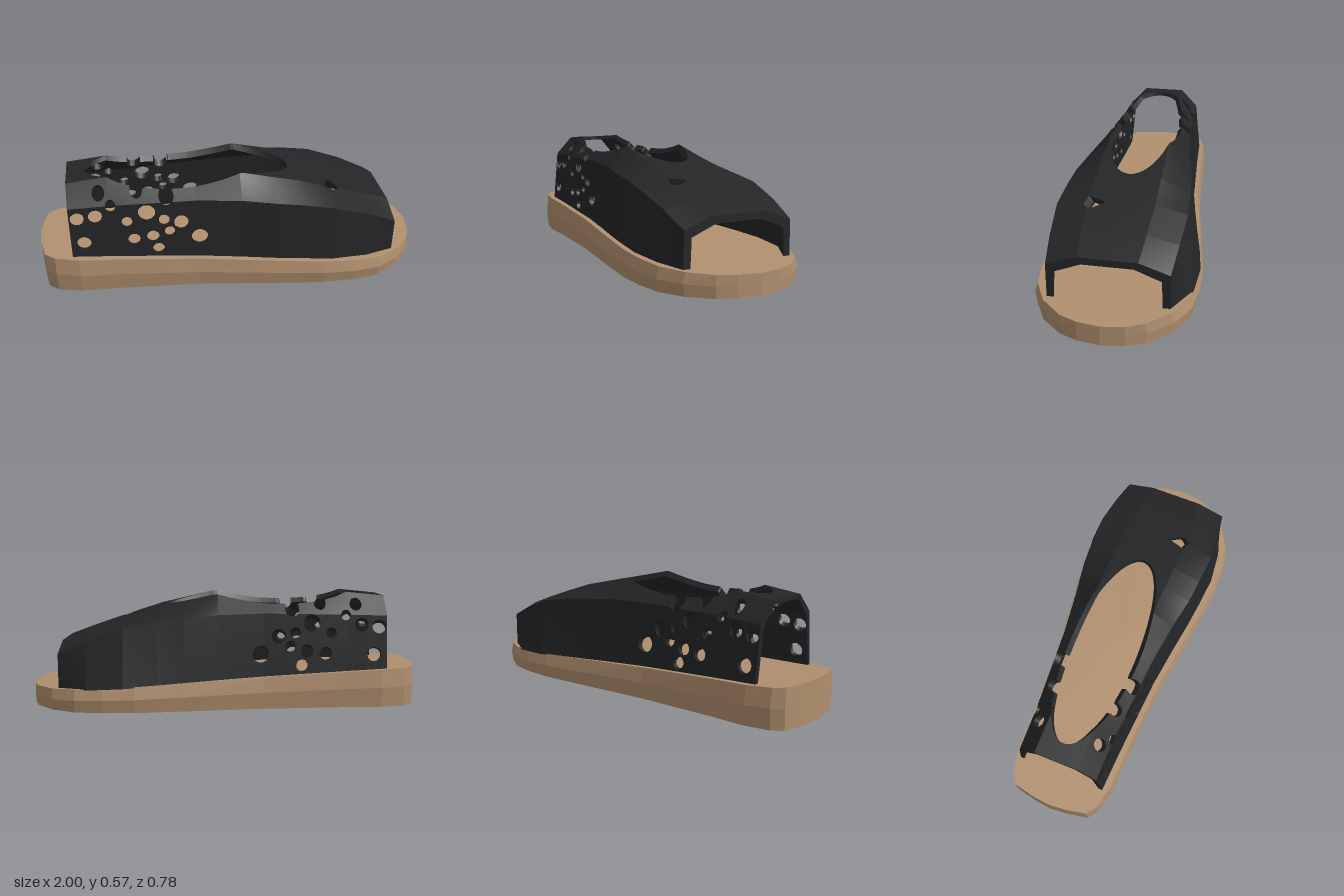
import * as THREE from 'three';

// Flat-shaded mesh from a list of triangle corners
function facetMesh(points, color, name) {
  const geo = new THREE.BufferGeometry().setFromPoints(points);
  geo.computeVertexNormals();
  const mesh = new THREE.Mesh(geo, new THREE.MeshStandardMaterial({ color, flatShading: true }));
  mesh.name = name;
  return mesh;
}

const soleTop = x => 0.15 - 0.05 * x;

// Sole: mirrored outline stacked in three rings, bulging at mid height
function makeSole() {
  const half = [[-0.99, 0.1], [-0.97, 0.2], [-0.92, 0.24], [-0.8, 0.27], [-0.6, 0.277], [-0.2, 0.305], [0.2, 0.36],
    [0.44, 0.39], [0.6, 0.39], [0.74, 0.37], [0.86, 0.305], [0.95, 0.2], [0.985, 0.11]];
  const outline = [[-1, 0], ...half, [1, 0], ...half.map(([x, z]) => [x, -z]).reverse()];
  const ring = (level, scale) => outline.map(([x, z]) => new THREE.Vector3(x, level * soleTop(x), z * scale));
  const rings = [ring(0, 0.975), ring(0.52, 1), ring(1, 0.96)];
  const bottom = new THREE.Vector3(0, 0, 0), top = new THREE.Vector3(0, soleTop(0), 0);
  const tris = [], n = outline.length;
  for (let i = 0; i < n; i++) {
    const j = (i + 1) % n;
    for (let r = 0; r < 2; r++) {
      const a = rings[r], b = rings[r + 1];
      tris.push(a[i], a[j], b[j], a[i], b[j], b[i]);
    }
    tris.push(top, rings[2][i], rings[2][j], bottom, rings[0][j], rings[0][i]);
  }
  return facetMesh(tris, 0xb08f6e, 'sole');
}

// Upper stations: x, top y, top half width, shoulder y, shoulder half width, base z left and right
const stations = [
  [-0.83, 0.555, 0.11, 0.46, 0.2, 0.225, 0.23],
  [-0.63, 0.575, 0.11, 0.465, 0.205, 0.235, 0.24],
  [-0.2, 0.575, 0.12, 0.475, 0.235, 0.265, 0.27],
  [0.03, 0.57, 0.155, 0.47, 0.265, 0.295, 0.305],
  [0.2, 0.53, 0.16, 0.455, 0.295, 0.32, 0.335],
  [0.33, 0.5, 0.16, 0.44, 0.305, 0.335, 0.36],
  [0.5, 0.445, 0.16, 0.41, 0.315, 0.35, 0.383],
  [0.68, 0.385, 0.15, 0.35, 0.3, 0.332, 0.37],
  [0.83, 0.33, 0.14, 0.28, 0.283, 0.285, 0.285],
];

// Vent holes through both sides: x, y, radius
const vents = [
  [-0.79, 0.405, 0.035], [-0.7, 0.415, 0.035], [-0.62, 0.463, 0.026], [-0.765, 0.265, 0.036],
  [-0.675, 0.515, 0.031], [-0.49, 0.52, 0.031], [-0.445, 0.425, 0.043], [-0.545, 0.375, 0.027],
  [-0.345, 0.495, 0.037], [-0.36, 0.378, 0.028], [-0.335, 0.31, 0.027], [-0.275, 0.36, 0.037],
  [-0.42, 0.285, 0.032], [-0.515, 0.272, 0.032], [-0.395, 0.213, 0.031], [-0.185, 0.272, 0.042],
];
const toeSlit = [[0.505, 0.07], [0.555, 0.148], [0.525, 0.178], [0.473, 0.163]];

// Positive on solid material, negative inside any opening
function solid({ x, y, z }) {
  let f = (Math.hypot((x + 0.215) / 0.525, z / 0.18) - 1) * 0.18;
  for (const [hx, hy, r] of vents) f = Math.min(f, Math.hypot(x - hx, y - hy) - r);
  let slit = -1;
  toeSlit.forEach(([ax, az], i) => {
    const [bx, bz] = toeSlit[(i + 1) % toeSlit.length];
    slit = Math.max(slit, ((x - ax) * (bz - az) - (z - az) * (bx - ax)) / Math.hypot(bx - ax, bz - az));
  });
  return Math.min(f, slit);
}

// Cross-section corners from left base over the top to right base; k is the wall thickness
function section([x, yt, zt, yc, zc, bl, br], k) {
  const y0 = soleTop(x) - 0.005;
  const t = [yt - k, zt - 0.6 * k], c = [yc - k, zc - 1.1 * k];
  return [[y0, bl - k], c, t, [t[0], -t[1]], [c[0], -c[1]], [y0, k - br]].map(([y, z]) => new THREE.Vector3(x, y, z));
}

// Upper: double-walled shell on a fine grid, clipped by its openings
function makeUpper() {
  const divisions = [22, 12, 16, 12, 22];
  const row = (station, k) => {
    const s = section(station, k), out = [s[0]];
    divisions.forEach((n, i) => {
      for (let j = 1; j <= n; j++) out.push(s[i].clone().lerp(s[i + 1], j / n));
    });
    return out;
  };
  const grid = [];
  const addRow = station => {
    const inner = row(station, 0.02 + 0.009 * (station[0] + 0.83));
    grid.push(row(station, 0).map((o, i) => ({ o, i: inner[i], f: solid(o) })));
  };
  addRow(stations[0]);
  for (let s = 1; s < stations.length; s++) {
    const a = stations[s - 1], b = stations[s], n = Math.ceil((b[0] - a[0]) / 0.0125);
    for (let j = 1; j <= n; j++) addRow(a.map((v, q) => v + (b[q] - v) * j / n));
  }

  const tris = [];
  const rim = (a, b) => tris.push(b.o, a.o, a.i, b.o, a.i, b.i);
  const clip = corners => {
    const kept = [];
    corners.forEach((a, q) => {
      const b = corners[(q + 1) % 3];
      if (a.f >= 0) kept.push(a);
      if ((a.f >= 0) !== (b.f >= 0)) {
        const t = a.f / (a.f - b.f);
        kept.push({ o: a.o.clone().lerp(b.o, t), i: a.i.clone().lerp(b.i, t), f: 0, cut: true });
      }
    });
    for (let q = 1; q + 1 < kept.length; q++) {
      const [a, b, c] = [kept[0], kept[q], kept[q + 1]];
      tris.push(a.o, b.o, c.o, a.i, c.i, b.i);
    }
    kept.forEach((a, q) => {
      const b = kept[(q + 1) % kept.length];
      if (a.cut && b.cut) rim(a, b);
    });
  };

  const U = grid.length - 1, V = grid[0].length - 1;
  for (let u = 0; u < U; u++) {
    for (let v = 0; v < V; v++) {
      const a = grid[u][v], b = grid[u + 1][v], c = grid[u + 1][v + 1], d = grid[u][v + 1];
      clip([a, b, c]);
      clip([a, c, d]);
    }
    // Bottom edges of both walls
    rim(grid[u][0], grid[u + 1][0]);
    rim(grid[u + 1][V], grid[u][V]);
  }
  // Heel and toe edges
  for (let v = 0; v < V; v++) {
    rim(grid[0][v + 1], grid[0][v]);
    rim(grid[U][v], grid[U][v + 1]);
  }
  return facetMesh(tris, 0x242527, 'upper');
}

export function createModel() {
  const group = new THREE.Group();
  group.name = 'sandal';
  group.add(makeSole(), makeUpper());
  return group;
}
